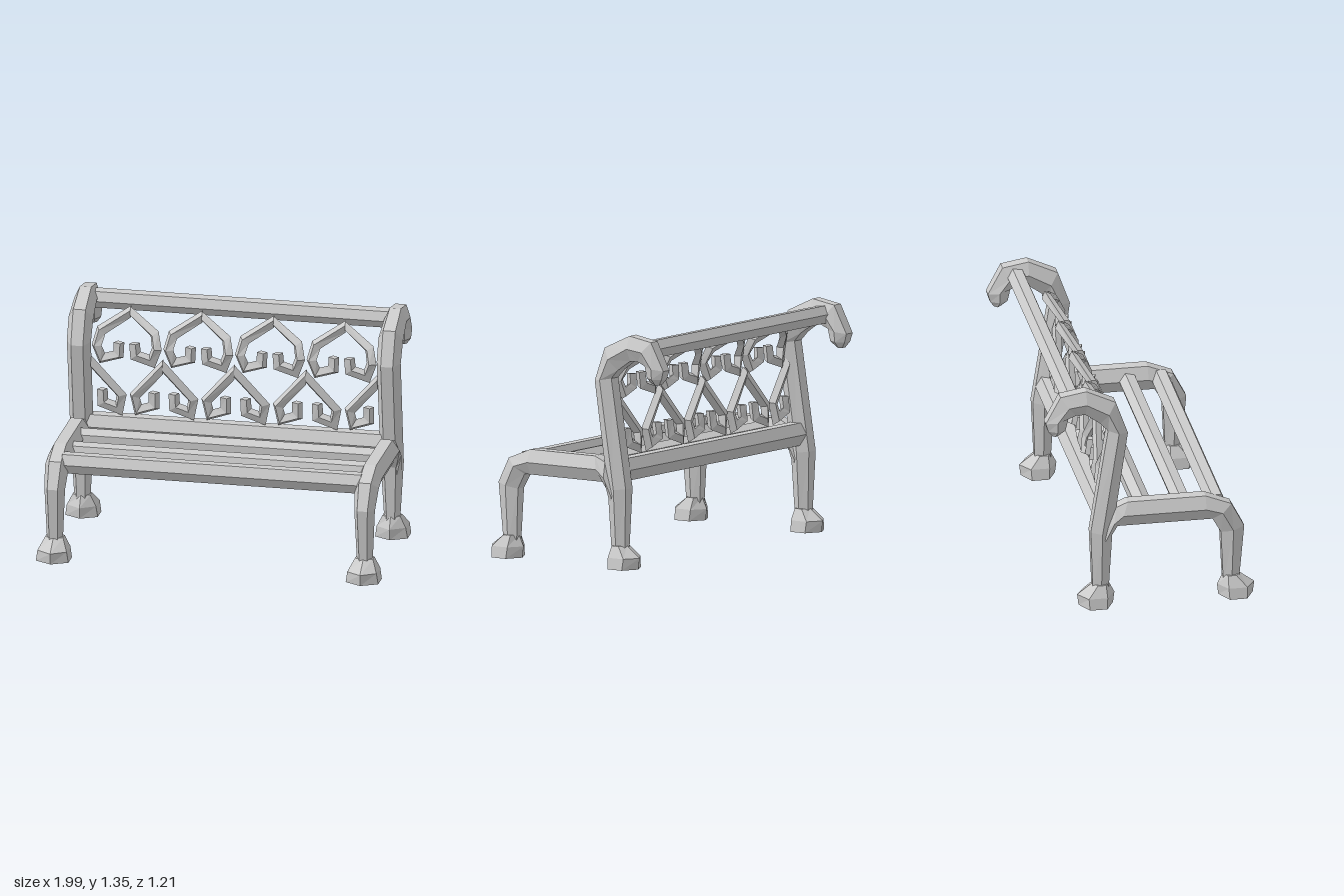
import * as THREE from 'three';

const material = new THREE.MeshStandardMaterial({ color: 0xcccccc, flatShading: true, side: THREE.DoubleSide });
const V = (x, y, z) => new THREE.Vector3(x, y, z);

// Faceted solid through rings {c, u, v}: a polygon around c with half axes u and v
function loft(name, rings, sides, phase = 0) {
  const pos = [];
  const axis = rings[1].c.clone().sub(rings[0].c);
  const flip = rings[0].u.clone().cross(rings[0].v).dot(axis) < 0 ? -1 : 1;
  const loops = rings.map(({ c, u, v }) => Array.from({ length: sides }, (_, i) => {
    const a = flip * (phase + i / sides * Math.PI * 2);
    return c.clone().addScaledVector(u, Math.cos(a)).addScaledVector(v, Math.sin(a));
  }));
  const tri = (...p) => p.forEach(q => pos.push(q.x, q.y, q.z));
  const last = rings.length - 1;
  for (let i = 0; i < sides; i++) {
    const j = (i + 1) % sides;
    for (let k = 0; k < last; k++) {
      const a = loops[k], b = loops[k + 1];
      tri(a[i], a[j], b[j]);
      tri(a[i], b[j], b[i]);
    }
    tri(rings[0].c, loops[0][j], loops[0][i]);
    tri(rings[last].c, loops[last][i], loops[last][j]);
  }
  const g = new THREE.BufferGeometry();
  g.setAttribute('position', new THREE.Float32BufferAttribute(pos, 3));
  g.computeVertexNormals();
  const mesh = new THREE.Mesh(g, material);
  mesh.name = name;
  return mesh;
}

// Side frame member from [outer z, outer y, inner z, inner y, half width]
const member = (name, x, outline) => loft(name, outline.map(([zo, yo, zi, yi, w]) => ({
  c: V(x, (yo + yi) / 2, (zo + zi) / 2),
  u: V(w, 0, 0),
  v: V(0, (yo - yi) / 2, (zo - zi) / 2).divideScalar(Math.sin(Math.PI / 3)),
})), 6);

const post = [
  [-0.24, 0.08, -0.33, 0.08, 0.045],
  [-0.22, 0.45, -0.345, 0.46, 0.068],
  [-0.13, 1.07, -0.245, 1.09, 0.07],
  [-0.20, 1.265, -0.29, 1.14, 0.072],
  [-0.37, 1.345, -0.375, 1.2, 0.066],
  [-0.52, 1.32, -0.43, 1.2, 0.066],
  [-0.605, 1.16, -0.475, 1.18, 0.062],
  [-0.59, 1.11, -0.49, 1.11, 0.055],
  [-0.565, 1.075, -0.53, 1.075, 0.03],
];
const seatFrame = [
  [0.515, 0.08, 0.425, 0.08, 0.045],
  [0.545, 0.43, 0.41, 0.40, 0.06],
  [0.47, 0.575, 0.36, 0.49, 0.07],
  [0.32, 0.635, 0.32, 0.49, 0.07],
  [-0.13, 0.635, -0.19, 0.49, 0.07],
  [-0.20, 0.605, -0.225, 0.43, 0.068],
  [-0.29, 0.46, -0.235, 0.36, 0.06],
];

// Foot: hexagonal block narrowing to the ankle
const foot = (name, x, z, ankle) => loft(name, [
  [0, 0.095, 0.1, z], [0.065, 0.085, 0.108, z], [0.13, 0.052, 0.048, ankle],
].map(([y, w, d, cz]) => ({ c: V(x, y, cz), u: V(0, 0, d), v: V(w * 1.15, 0, 0) })), 6);

// Straight bar between the two sides
const bar = (name, y, z, h, d, phase) => loft(name, [-0.87, 0.87].map(x => ({
  c: V(x, y, z), u: V(0, 0, d), v: V(0, h, 0),
})), 6, phase);

// Depth of the lattice follows the bend of the posts
const bend = [[0.6, -0.26], [1.08, -0.195], [1.2, -0.27], [1.3, -0.39]];
function latticeZ(y) {
  let i = 0;
  while (i < bend.length - 2 && y > bend[i + 1][0]) i++;
  const [y0, z0] = bend[i], [y1, z1] = bend[i + 1];
  return z0 + (z1 - z0) * (y - y0) / (y1 - y0);
}

// Half of a heart: from the apex down to the curled end, with mitred corners
function halfHeart(name, path, cx, side) {
  const p = path.map(([x, y]) => new THREE.Vector2(x, y));
  const dir = i => p[i + 1].clone().sub(p[i]).normalize();
  return loft(name, p.map((q, i) => {
    const after = dir(Math.min(i, p.length - 2));
    const before = i ? dir(i - 1) : new THREE.Vector2(after.x, -after.y);
    const t = before.add(after).normalize();
    const r = 0.031 * Math.min(1.5, 1 / Math.max(0.1, t.dot(after)));
    return {
      c: V(cx + side * q.x, q.y, latticeZ(q.y)),
      u: V(-side * t.y * r, t.x * r, 0),
      v: V(0, 0, 0.028),
    };
  }), 4, 0.35);
}
const upperHeart = [[0, 1.235], [0.155, 1.14], [0.175, 1.06], [0.145, 0.98], [0.05, 1.01], [0.045, 1.085]];
const lowerHeart = [[0, 0.95], [0.17, 0.755], [0.152, 0.668], [0.06, 0.7], [0.058, 0.785]];

export function createModel() {
  const model = new THREE.Group();
  model.name = 'bench';

  // Mirrored side frames
  for (const s of [-1, 1]) {
    const side = new THREE.Group();
    side.name = s > 0 ? 'leftSide' : 'rightSide';
    const x = s * 0.902;
    side.add(
      member('backPost', x, post),
      member('seatFrame', x, seatFrame),
      foot('frontFoot', x, 0.5, 0.472),
      foot('backFoot', x, -0.31, -0.283),
    );
    model.add(side);
  }

  // Seat slats, the rail under the lattice and the top rail
  model.add(
    bar('frontSlat', 0.55, 0.397, 0.065, 0.055, 0),
    bar('middleSlat', 0.555, 0.205, 0.055, 0.055, 0.2),
    bar('rearSlat', 0.56, -0.027, 0.055, 0.057, Math.PI / 6),
    bar('lowerBackRail', 0.56, -0.265, 0.075, 0.065, 0),
    bar('topRail', 1.26, -0.44, 0.058, 0.055, 0.1),
  );

  // Lattice of two staggered rows of hearts
  const lattice = new THREE.Group();
  lattice.name = 'backLattice';
  const pitch = 0.417;
  for (const side of [-1, 1]) {
    for (let i = 0; i < 4; i++) lattice.add(halfHeart('upperHeart', upperHeart, (i - 1.5) * pitch, side));
    for (let i = -2; i <= 2; i++) {
      // The outermost hearts are cut by the posts
      if (i * side < 2) lattice.add(halfHeart('lowerHeart', lowerHeart, i * pitch, side));
    }
  }
  model.add(lattice);
  return model;
}
